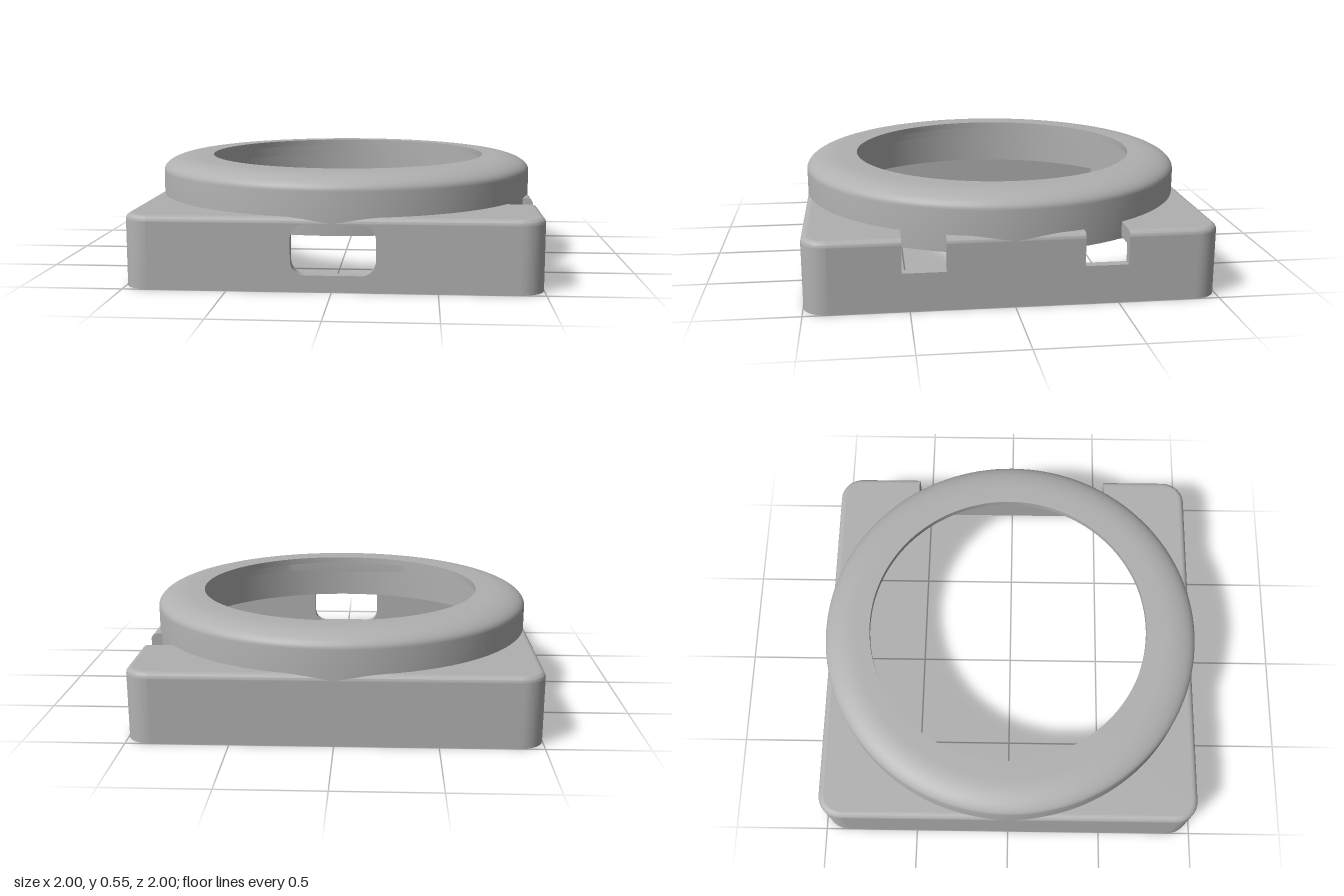
import * as THREE from 'three';
import { toCreasedNormals } from 'three/addons/utils/BufferGeometryUtils.js';

const WALL = 0.05, CORNER = 0.12, FILLET = 0.03, TOP = 0.355, UNDER = 0.28;
const EDGE = TOP - FILLET, STRAIGHT = 1 - CORNER;
// notches in the +x side, as ranges of z
const NOTCHES = [[-0.545, -0.335], [0.325, 0.535]];
const NOTCH_FLOOR = 0.19;

export function createModel() {
  const model = new THREE.Group();
  model.name = 'roundDisplayHousing';
  const plastic = new THREE.MeshStandardMaterial({ color: 0xb0b0b0 });
  plastic.name = 'greyPlastic';

  const add = (name, geometry) => {
    const mesh = new THREE.Mesh(toCreasedNormals(geometry, 0.6), plastic);
    mesh.name = name;
    model.add(mesh);
    return mesh;
  };
  const vec = ([x, y]) => new THREE.Vector2(x, y);
  const extrude = (shape, depth) =>
    new THREE.ExtrudeGeometry(shape, { depth, bevelEnabled: false, curveSegments: 48 });
  // extrude a plan drawn in (x, z) between two heights
  const slab = (shape, bottom, top) =>
    extrude(shape, top - bottom).rotateX(Math.PI / 2).translate(0, top, 0);
  const arc = (cx, cy, rx, ry, n) => Array.from({ length: n + 1 }, (_, i) => {
    const a = (i / n) * Math.PI / 2;
    return [cx + rx * Math.cos(a), cy + ry * Math.sin(a)];
  });
  const roundRect = (path, x0, y0, x1, y1, r) => {
    path.moveTo(x0 + r, y0);
    path.lineTo(x1 - r, y0);
    path.absarc(x1 - r, y0 + r, r, -Math.PI / 2, 0);
    path.lineTo(x1, y1 - r);
    path.absarc(x1 - r, y1 - r, r, 0, Math.PI / 2);
    path.lineTo(x0 + r, y1);
    path.absarc(x0 + r, y1 - r, r, Math.PI / 2, Math.PI);
    path.lineTo(x0, y0 + r);
    path.absarc(x0 + r, y0 + r, r, Math.PI, Math.PI * 1.5);
    return path;
  };

  // Side walls, each drawn facing front and then turned into place
  const sides = [['front', 0], ['left', Math.PI / 2], ['back', Math.PI], ['right', -Math.PI / 2]];
  const filletProfile = new THREE.Shape([
    [1 - FILLET, EDGE - 0.01], [1, EDGE - 0.002], ...arc(1 - FILLET, EDGE, FILLET, FILLET, 8),
  ].map(vec));
  for (const [side, turn] of sides) {
    const outline = [[-STRAIGHT, 0], [STRAIGHT, 0], [STRAIGHT, EDGE]];
    let rails = [[-STRAIGHT, STRAIGHT]];
    if (side === 'left') {
      for (const [z0, z1] of NOTCHES) {
        outline.push([-z0, EDGE], [-z0, NOTCH_FLOOR], [-z1, NOTCH_FLOOR], [-z1, EDGE]);
      }
      const [[a, b], [c, d]] = NOTCHES;
      rails = [[-STRAIGHT, -d], [-c, -b], [-a, STRAIGHT]];
    }
    outline.push([-STRAIGHT, EDGE]);
    const shape = new THREE.Shape(outline.map(vec));
    if (side === 'front') {
      shape.holes.push(roundRect(new THREE.Path(), -0.195, 0.08, 0.208, 0.322, 0.07));
    }
    add(side + 'Wall', extrude(shape, WALL).translate(0, 0, 1 - WALL).rotateY(turn));
    for (const [u0, u1] of rails) {
      add(side + 'TopFillet',
        extrude(filletProfile, u1 - u0).rotateY(-Math.PI / 2).translate(u1, 0, 0).rotateY(turn));
    }
  }

  // Rounded corners and the screw posts inside them
  const inner = CORNER - WALL;
  const cornerProfile = [
    [inner, 0], [CORNER, 0], ...arc(CORNER - FILLET, EDGE, FILLET, FILLET, 8),
    [CORNER - FILLET, 0.3], [inner, 0.3], [inner, 0],
  ].map(vec);
  const postProfile = [
    [0, 0.2], [0.03, 0.2], [0.03, 0.01], [0.068, 0.01], [0.068, UNDER + 0.01],
  ].map(vec);
  for (let k = 0; k < 4; k++) {
    const turn = k * Math.PI / 2;
    add('corner', new THREE.LatheGeometry(cornerProfile, 12, 0, Math.PI / 2)
      .translate(STRAIGHT, 0, STRAIGHT).rotateY(turn));
    add('screwPost', new THREE.LatheGeometry(postProfile, 28)
      .translate(0.835, 0, 0.835).rotateY(turn));
  }

  // Top plate: notches on the +x side reach in to the bezel
  const e = 1 - FILLET, r = CORNER - FILLET;
  const plate = new THREE.Shape();
  plate.moveTo(-e + r, -e);
  plate.lineTo(e - r, -e);
  plate.absarc(e - r, -e + r, r, -Math.PI / 2, 0);
  for (const [z0, z1] of NOTCHES) {
    const bezelX = z => Math.sqrt(0.985 ** 2 - z * z);
    plate.lineTo(e, z0);
    plate.lineTo(bezelX(z0), z0);
    plate.lineTo(bezelX(z1), z1);
    plate.lineTo(e, z1);
  }
  plate.absarc(e - r, e - r, r, 0, Math.PI / 2);
  plate.absarc(-e + r, e - r, r, Math.PI / 2, Math.PI);
  plate.absarc(-e + r, -e + r, r, Math.PI, Math.PI * 1.5);
  plate.holes.push(new THREE.Path().absarc(0, 0, 0.945, 0, Math.PI * 2, true));
  add('topPlate', slab(plate, UNDER, TOP));

  // Round bezel with a soft outer shoulder and an inward lip
  const bezel = new THREE.LatheGeometry([
    [0.93, 0.27], [1, 0.27], ...arc(0.83, 0.478, 0.17, 0.075, 12),
    [0.743, 0.553], [0.743, 0.52], [0.93, 0.52], [0.93, 0.27],
  ].map(vec), 128);
  // the opening sits slightly off centre
  const p = bezel.attributes.position;
  for (let i = 0; i < p.count; i++) {
    if (Math.hypot(p.getX(i), p.getZ(i)) < 0.76) {
      p.setX(i, p.getX(i) + 0.008);
      p.setZ(i, p.getZ(i) - 0.012);
    }
  }
  add('bezel', bezel);

  // Seat for the round screen, with one flat at the front
  const seat = new THREE.Shape().absarc(0, 0, 0.94, 0, Math.PI * 2, false);
  const flat = Math.asin(0.79 / 0.86);
  const recess = new THREE.Path();
  recess.absarc(0, 0, 0.86, Math.PI - flat, Math.PI * 2 + flat, false);
  recess.closePath();
  seat.holes.push(recess);
  add('screenSeat', slab(seat, 0.45, 0.525));

  return model;
}
